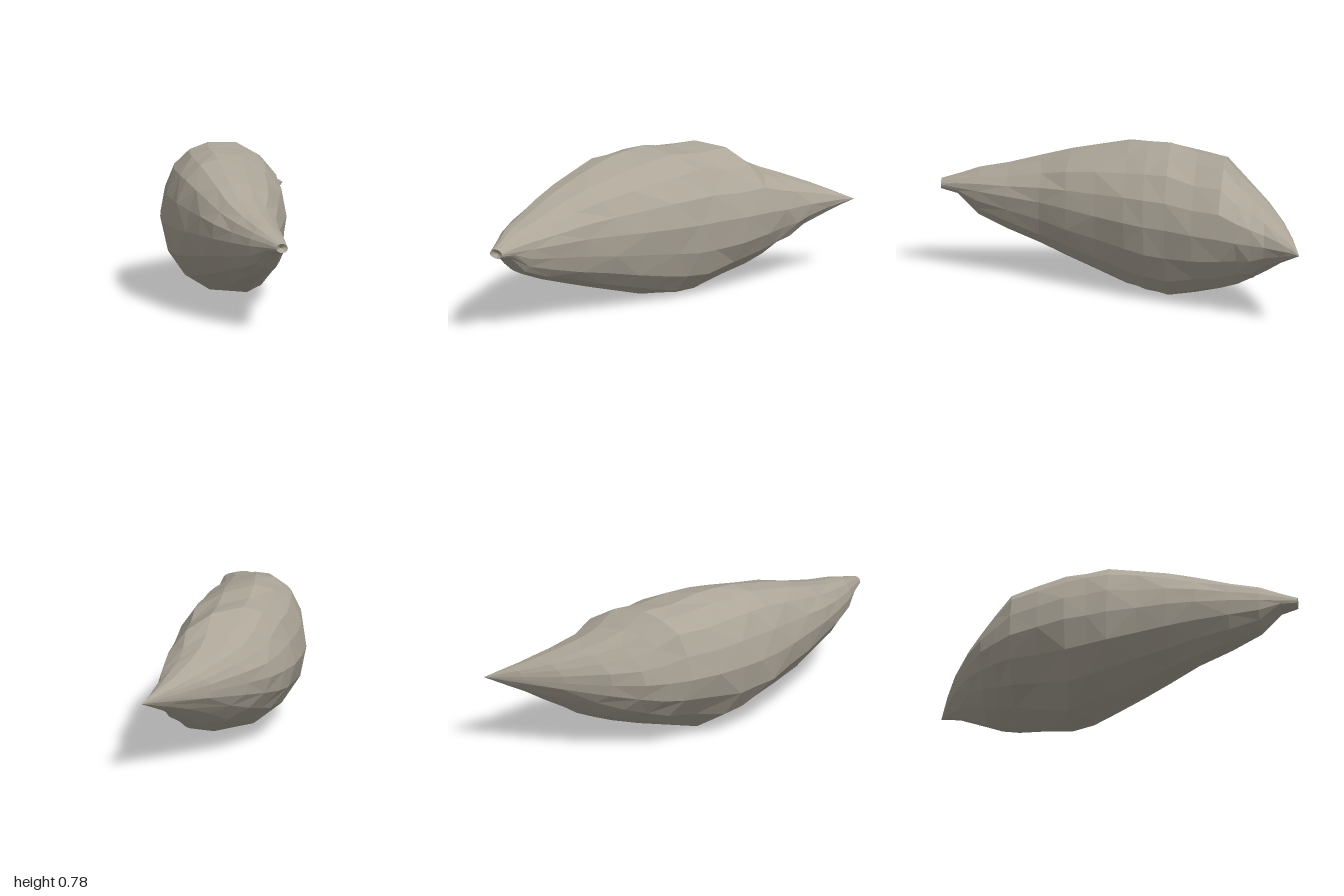
import * as THREE from 'three';

// Cross-sections from the blunt front end to the pointed back: z, xMin, xMax, yMin, yMax, yMid
const SECTIONS = [
  [0.99, -0.56, -0.49, 0.44, 0.49, 0.465],
  [0.9, -0.58, -0.45, 0.42, 0.52, 0.46],
  [0.79, -0.61, -0.4, 0.315, 0.555, 0.455],
  [0.63, -0.63, -0.32, 0.25, 0.59, 0.45],
  [0.45, -0.64, -0.235, 0.19, 0.64, 0.445],
  [0.3, -0.635, -0.125, 0.14, 0.69, 0.44],
  [0.14, -0.62, -0.02, 0.09, 0.73, 0.43],
  [-0.02, -0.6, 0.09, 0.04, 0.768, 0.425],
  [-0.13, -0.57, 0.15, 0.025, 0.778, 0.42],
  [-0.25, -0.535, 0.21, 0.005, 0.784, 0.42],
  [-0.4, -0.46, 0.295, 0.045, 0.755, 0.415],
  [-0.55, -0.37, 0.37, 0.1, 0.755, 0.415],
  [-0.64, -0.28, 0.415, 0.14, 0.67, 0.41],
  [-0.72, -0.185, 0.45, 0.18, 0.62, 0.41],
  [-0.8, -0.025, 0.49, 0.25, 0.57, 0.41],
  [-0.89, 0.21, 0.55, 0.32, 0.51, 0.41],
  [-0.95, 0.42, 0.59, 0.365, 0.46, 0.41],
];
const SIDES = 16;

// Seeded noise for the uneven hand-shaped facets
function seeded(seed) {
  return () => {
    seed = (seed * 16807) % 2147483647;
    return seed / 2147483647 - 0.5;
  };
}

// Skewed oval: the crown leans to the outer curve, the keel to the inner curve
function sectionPoint([z, x0, x1, y0, y1, ym], angle, noise) {
  const c = Math.cos(angle), s = Math.sin(angle);
  const mid = (x0 + x1) / 2, half = (x1 - x0) / 2;
  const peak = mid + half * (s >= 0 ? -0.22 : 0.3);
  const reach = c >= 0 ? x1 - peak : peak - x0;
  const rise = s >= 0 ? y1 - ym : ym - y0;
  const side = Math.abs(c), up = Math.abs(s);
  // Extremes stay exact; only the facets between them wander
  const wobble = 1 + noise() * 0.06 * Math.min(1, 4 * side * up);
  return [
    peak + Math.sign(c) * reach * side * wobble,
    ym + Math.sign(s) * rise * up * wobble,
    z + noise() * 0.03 * Math.min(1, half * 4) * side * up,
  ];
}

function podGeometry() {
  const noise = seeded(417);
  const positions = [], index = [];
  for (const section of SECTIONS) {
    for (let j = 0; j < SIDES; j++) {
      positions.push(...sectionPoint(section, (j / SIDES) * Math.PI * 2, noise));
    }
  }
  const last = (SECTIONS.length - 1) * SIDES;
  const front = last + SIDES, back = front + 1;
  positions.push(-0.525, 0.465, 0.97, 0.635, 0.407, -1);
  for (let j = 0; j < SIDES; j++) {
    const k = (j + 1) % SIDES;
    for (let i = 0; i < last; i += SIDES) {
      const a = i + j, b = i + k, c = a + SIDES, d = b + SIDES;
      // Alternate the diagonals for an irregular facet pattern
      if ((i / SIDES + j) % 2) index.push(a, c, b, b, c, d);
      else index.push(a, c, d, a, d, b);
    }
    index.push(front, j, k, back, last + k, last + j);
  }
  const geometry = new THREE.BufferGeometry();
  geometry.setAttribute('position', new THREE.Float32BufferAttribute(positions, 3));
  geometry.setIndex(index);
  const flat = geometry.toNonIndexed();
  flat.computeVertexNormals();
  return flat;
}

export function createModel() {
  const group = new THREE.Group();
  group.name = 'curvedPod';
  const material = new THREE.MeshStandardMaterial({ color: 0xaca598 });
  material.name = 'greyBeige';
  material.flatShading = true;
  const pod = new THREE.Mesh(podGeometry(), material);
  pod.name = 'podBody';
  group.add(pod);
  return group;
}
